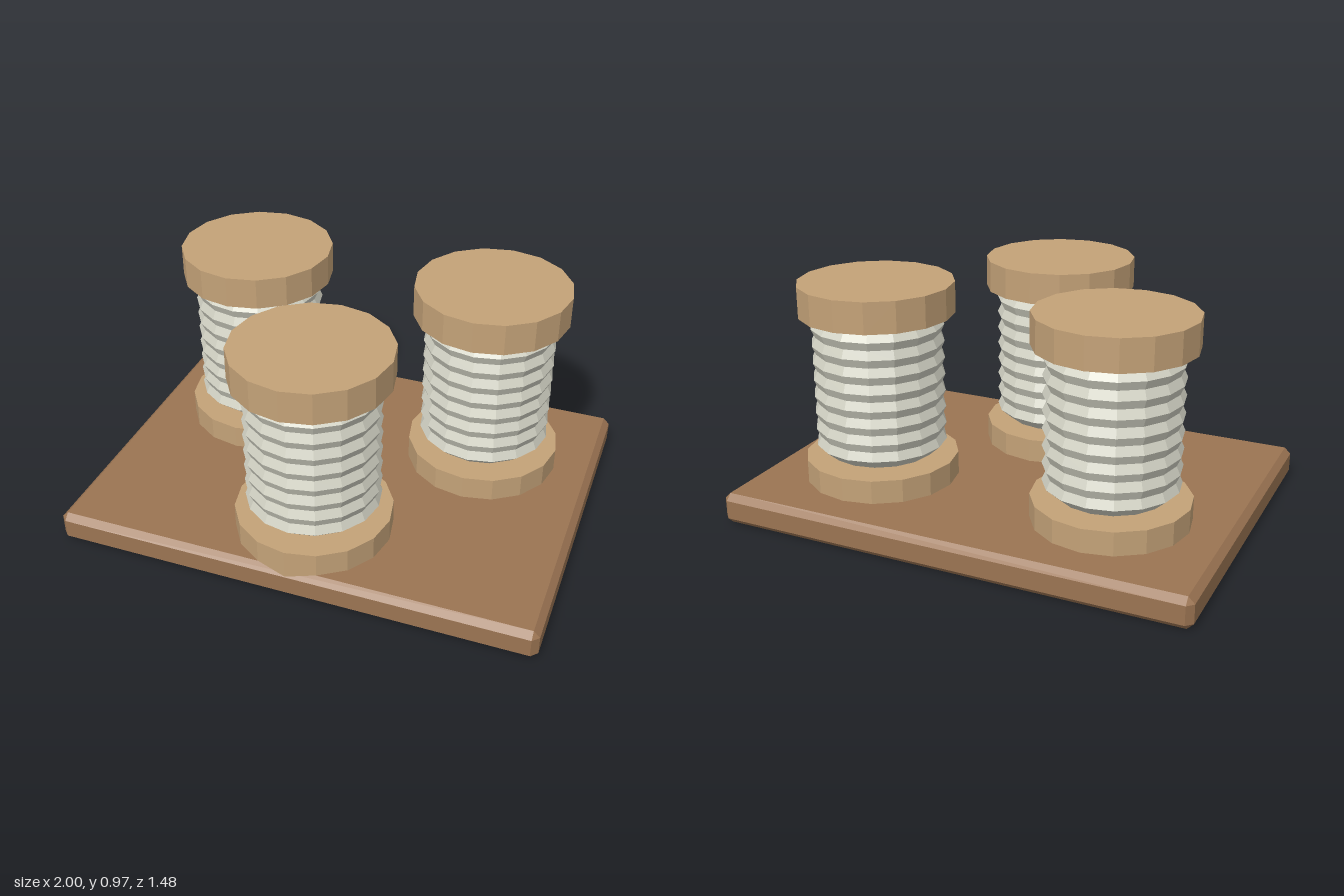
import * as THREE from 'three';
import { ConvexGeometry } from 'three/addons/geometries/ConvexGeometry.js';

const SIDES = 16;
const paint = (color) => new THREE.MeshStandardMaterial({ color, flatShading: true });
const boardMat = paint(0x9b7452);
const flangeMat = paint(0xc4a278);
const threadMat = paint(0xd2d2c4);

function add(parent, name, geometry, material) {
  const mesh = new THREE.Mesh(geometry, material);
  mesh.name = name;
  parent.add(mesh);
  return mesh;
}

// Box with every edge cut at 45 degrees: each corner becomes three points
function chamferedBox(w, h, d, c) {
  const points = [];
  for (const sx of [-1, 1]) for (const sy of [-1, 1]) for (const sz of [-1, 1]) {
    const x = w / 2, y = h / 2, z = d / 2;
    points.push(
      new THREE.Vector3(sx * x, sy * (y - c), sz * (z - c)),
      new THREE.Vector3(sx * (x - c), sy * y, sz * (z - c)),
      new THREE.Vector3(sx * (x - c), sy * (y - c), sz * z));
  }
  return new ConvexGeometry(points);
}

function disc(radius, y0, y1) {
  return new THREE.CylinderGeometry(radius, radius, y1 - y0, SIDES).translate(0, (y0 + y1) / 2, 0);
}

// Ribbed winding: ridges and grooves alternate between two tapered ends
function windingGeometry() {
  const ridges = 8, first = 0.29, pitch = 0.0715;
  const profile = [new THREE.Vector2(0, 0.245), new THREE.Vector2(0.222, 0.245)];
  for (let i = 0; i < ridges; i++) {
    const y = first + i * pitch;
    profile.push(new THREE.Vector2(0.273, y));
    if (i < ridges - 1) profile.push(new THREE.Vector2(0.257, y + pitch / 2));
  }
  profile.push(new THREE.Vector2(0.235, 0.845), new THREE.Vector2(0, 0.845));
  return new THREE.LatheGeometry(profile, SIDES);
}

function createSpool(name, x, z) {
  const spool = new THREE.Group();
  spool.name = name;
  add(spool, 'bottomFlange', disc(0.32, 0.098, 0.228), flangeMat);
  add(spool, 'core', disc(0.113, 0.22, 0.85), boardMat);
  add(spool, 'thread', windingGeometry(), threadMat);
  add(spool, 'topFlange', disc(0.32, 0.84, 0.97), flangeMat);
  spool.position.set(x, 0, z);
  return spool;
}

export function createModel() {
  const model = new THREE.Group();
  model.name = 'spoolStand';

  // Base board
  add(model, 'board', chamferedBox(2, 0.13, 1.48, 0.026), boardMat).position.y = 0.065;

  // One spool in front, two behind
  model.add(
    createSpool('frontSpool', 0, 0.418),
    createSpool('backLeftSpool', 0.516, -0.262),
    createSpool('backRightSpool', -0.516, -0.262));
  return model;
}
